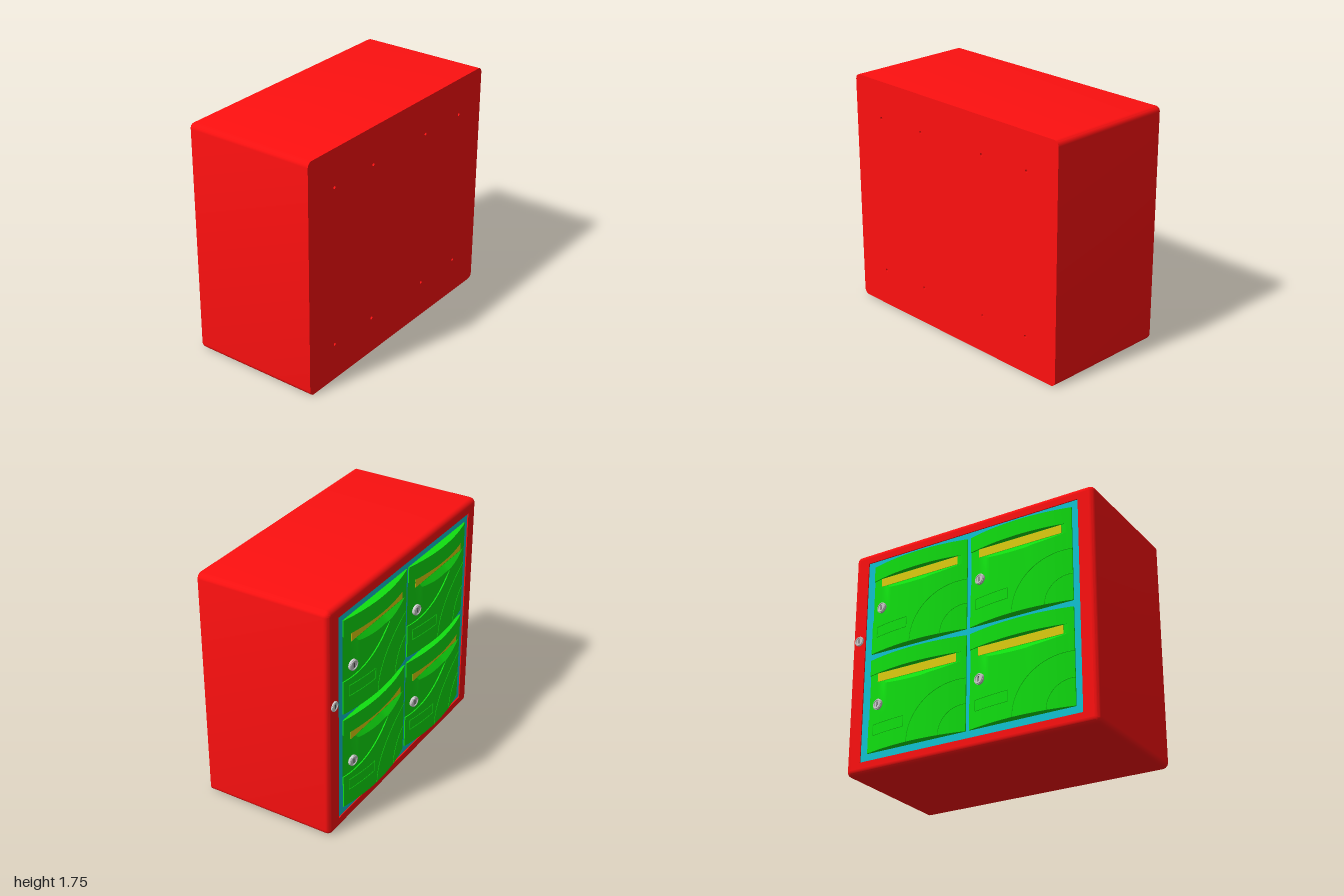
import * as THREE from 'three';
import { toCreasedNormals } from 'three/addons/utils/BufferGeometryUtils.js';

const paint = (color) => new THREE.MeshStandardMaterial({ color, side: THREE.DoubleSide });
const red = paint(0xff1010), green = paint(0x10e010), cyan = paint(0x10c4d4);
const yellow = paint(0xe0d010), grey = paint(0xcccccc), dark = paint(0x555555);

const FACE = -0.475, BACK = 0.525, HEIGHT = 1.745, ROUND = 0.04;
const HALF = 0.405, TALL = 0.71; // door half width and height

function add(parent, name, geometry, material, x = 0, y = 0, z = 0) {
  const mesh = new THREE.Mesh(geometry, material);
  mesh.name = name;
  mesh.position.set(x, y, z);
  parent.add(mesh);
  return mesh;
}

// Skin over equal-length lines of points
function skin(lines) {
  const n = lines[0].length, index = [];
  for (let i = 0; i < lines.length - 1; i++) {
    for (let j = 0; j < n - 1; j++) {
      const a = i * n + j, b = a + n;
      index.push(a, a + 1, b + 1, a, b + 1, b);
    }
  }
  const g = new THREE.BufferGeometry();
  g.setAttribute('position', new THREE.Float32BufferAttribute(lines.flat(2), 3));
  g.setIndex(index);
  return toCreasedNormals(g, 0.5);
}

function rect(path, x0, y0, x1, y1) {
  path.moveTo(x0, y0);
  path.lineTo(x1, y0);
  path.lineTo(x1, y1);
  path.lineTo(x0, y1);
  path.closePath();
  return path;
}

const slab = (shape, depth) => new THREE.ExtrudeGeometry(shape, { depth, bevelEnabled: false, curveSegments: 10 });

// Cabinet outline with corner radius r about fixed corner centres
function outline(r, z) {
  const pts = [];
  for (let c = 0; c < 4; c++) {
    const cx = (c === 0 || c === 3 ? 1 : -1) * (1 - ROUND);
    const cy = c < 2 ? HEIGHT - ROUND : ROUND;
    for (let k = 0; k <= 6; k++) {
      const a = (c + k / 6) * Math.PI / 2;
      pts.push([cx + r * Math.cos(a), cy + r * Math.sin(a), z]);
    }
  }
  pts.push(pts[0]);
  return pts;
}

function buildCabinet(root) {
  // Sides, with the door-side edge rounded over
  const rings = [outline(ROUND, BACK)];
  for (let k = 0; k <= 6; k++) {
    const t = k / 6 * Math.PI / 2;
    rings.push(outline(ROUND * Math.cos(t), FACE + ROUND - ROUND * Math.sin(t)));
  }
  add(root, 'cabinetSides', skin(rings), red);

  // Door-side panel with the big opening
  const face = rect(new THREE.Shape(), -1 + ROUND, ROUND, 1 - ROUND, HEIGHT - ROUND);
  face.holes.push(rect(new THREE.Path(), -0.88, 0.085, 0.88, 1.66));
  add(root, 'openingPanel', slab(face, 0.05), red, 0, 0, FACE);

  // Mounting panel with screw holes
  const back = new THREE.Shape(outline(ROUND, 0).slice(0, -1).map(([x, y]) => new THREE.Vector2(x, y)));
  for (const x of [-0.73, -0.31, 0.3, 0.72]) {
    for (const y of [0.28, 1.47]) back.holes.push(new THREE.Path().absarc(x, y, 0.011, 0, Math.PI * 2, true));
  }
  add(root, 'mountingPanel', slab(back, 0.02), red, 0, 0, BACK - 0.02);
}

// Bulge of the door outward from the cabinet face
const bulge = (x) => 0.05 * (1 - (x / HALF) ** 2);

function doorGeometry() {
  const columns = [];
  const N = 48;
  for (let i = -1; i <= N + 1; i++) {
    const wall = i < 0 || i > N;
    const x = HALF * (THREE.MathUtils.clamp(i, 0, N) / N * 2 - 1);
    const d = bulge(x);
    // Curved lower edge of the handle scoop, and the sweeping step below the lock
    const scoop = 0.52 - 0.045 * Math.max(0, 1 - (x / 0.36) ** 2);
    const sweep = Math.min(scoop, 0.25 + 0.23 * ((HALF - x) / 0.52) ** 2);
    const inner = d - 0.008 * Math.min(1, (scoop - sweep) / 0.04);
    const floor = Math.min(inner, 0.01);
    const profile = [[0, -0.025], [0, d], [sweep, d], [sweep, inner], [scoop, inner],
      [0.52, floor], [0.59, floor], [0.59, d], [TALL, d], [TALL, -0.025]];
    columns.push(profile.map(([y, out]) => [x, y, wall ? 0.025 : -out]));
  }
  return skin(columns);
}

// Fine raised line following the bulged surface
function ridge(pts) {
  const curve = new THREE.CatmullRomCurve3(pts.map(([x, y]) => new THREE.Vector3(x, y, -bulge(x))));
  return new THREE.TubeGeometry(curve, 24, 0.003, 5);
}

function arcLine(rx, ry) {
  const pts = [];
  for (let k = 0; k <= 12; k++) {
    const a = k / 12 * Math.PI / 2;
    pts.push([-HALF + rx * Math.cos(a), ry * Math.sin(a)]);
  }
  return ridge(pts);
}

function straightLine(x0, y0, x1, y1) {
  const pts = [];
  for (let k = 0; k <= 6; k++) pts.push([x0 + (x1 - x0) * k / 6, y0 + (y1 - y0) * k / 6]);
  return ridge(pts);
}

function buildLock(name, radius, depth) {
  const lock = new THREE.Group();
  lock.name = name;
  add(lock, 'lockBarrel', new THREE.CylinderGeometry(radius, radius, depth, 28).rotateX(Math.PI / 2), grey);
  add(lock, 'lockRim', new THREE.TorusGeometry(radius * 0.8, radius * 0.12, 8, 28), grey, 0, 0, -depth / 2);
  add(lock, 'keySlot', new THREE.BoxGeometry(radius * 0.2, radius * 0.9, 0.004), dark, 0, 0, -depth / 2);
  return lock;
}

function buildDoor() {
  const door = new THREE.Group();
  door.name = 'door';
  add(door, 'doorPanel', doorGeometry(), green);
  add(door, 'handleInsert', new THREE.BoxGeometry(0.66, 0.064, 0.03), yellow, 0, 0.556, 0.003);
  add(door, 'outerArc', arcLine(0.45, 0.39), green);
  add(door, 'innerArc', arcLine(0.2, 0.2), green);
  // Label holder outline
  const [l, r, b, t] = [0.075, 0.355, 0.12, 0.2];
  for (const e of [[l, b, r, b], [l, t, r, t], [l, b, l, t], [r, b, r, t]]) {
    add(door, 'labelEdge', straightLine(...e), green);
  }
  const lock = buildLock('doorLock', 0.04, 0.03);
  lock.position.set(0.315, 0.345, -bulge(0.315) + 0.008);
  lock.rotation.y = -0.19;
  door.add(lock);
  return door;
}

export function createModel() {
  const root = new THREE.Group();
  root.name = 'lockerCabinet';
  buildCabinet(root);

  // Frame around the four doors
  const frame = rect(new THREE.Shape(), -0.88, 0.085, 0.88, 1.66);
  const door = buildDoor();
  for (const x of [-0.425, 0.415]) {
    for (const y of [0.14, 0.9]) {
      frame.holes.push(rect(new THREE.Path(), x - HALF, y, x + HALF, y + TALL));
      const copy = door.clone();
      copy.position.set(x, y, FACE);
      root.add(copy);
    }
  }
  add(root, 'doorFrame', slab(frame, 0.03), cyan, 0, 0, FACE + 0.008);

  const lock = buildLock('cabinetLock', 0.037, 0.014);
  lock.position.set(0.933, 1.03, FACE);
  root.add(lock);
  return root;
}
